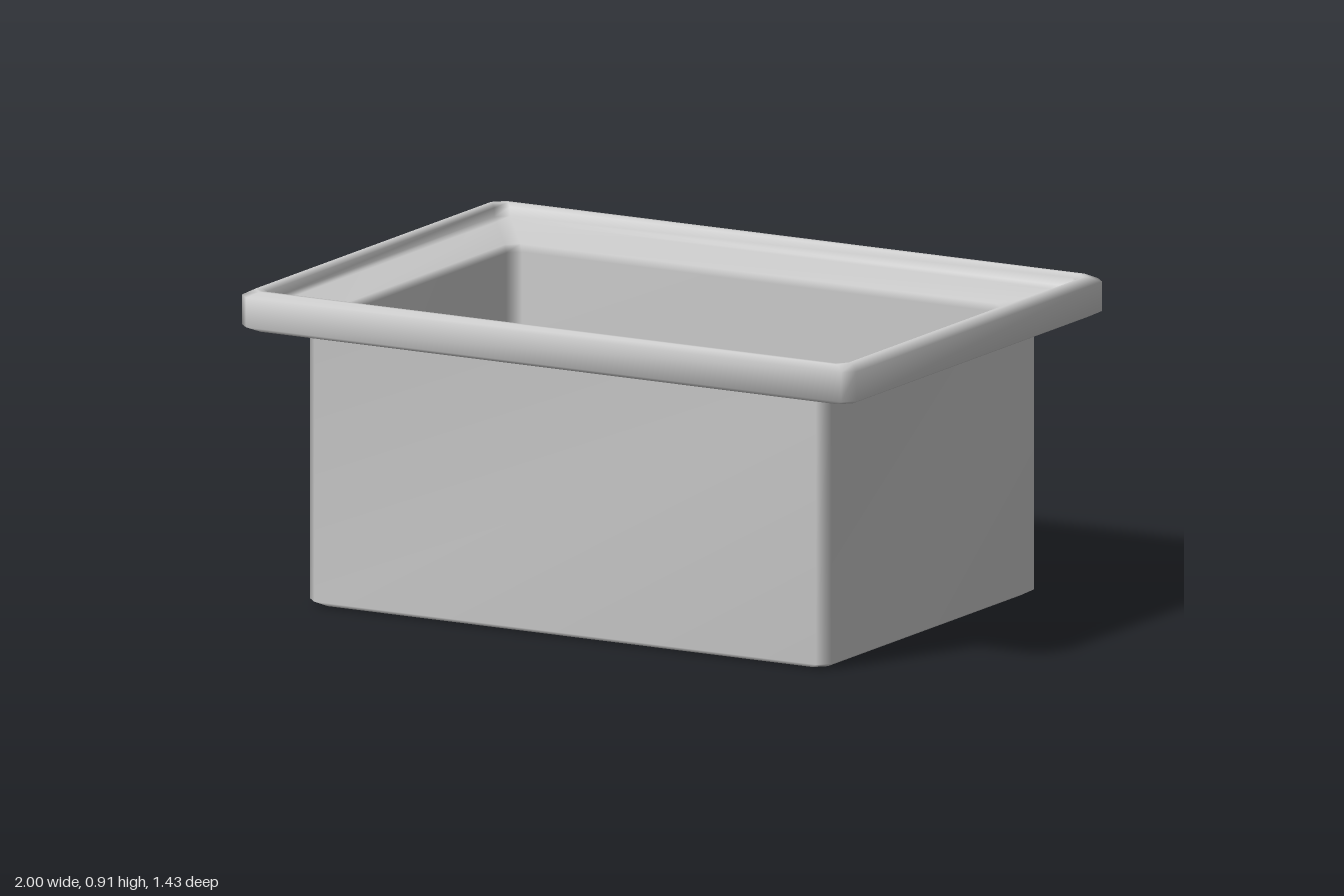
import * as THREE from 'three';

// Corners of a rectangle with cut corners, counter-clockwise from above
function ring([hx, hz, y], cut) {
  const cx = hx - cut, cz = hz - cut;
  return [
    [hx, cz], [hx, -cz], [cx, -hz], [-cx, -hz],
    [-hx, -cz], [-hx, cz], [-cx, hz], [cx, hz],
  ].flatMap(([x, z]) => [x, y, z]);
}

// Skin a closed solid through stacked rings, capped at both ends
function loft(profile, cut) {
  const n = 8, positions = profile.flatMap((p) => ring(p, cut)), index = [];
  for (let r = 0; r < profile.length - 1; r++) {
    for (let i = 0; i < n; i++) {
      const a = r * n + i, b = r * n + (i + 1) % n;
      index.push(a, b, b + n, a, b + n, a + n);
    }
  }
  const last = (profile.length - 1) * n;
  for (let i = 1; i < n - 1; i++) {
    index.push(0, i + 1, i);
    index.push(last, last + i, last + i + 1);
  }
  const geometry = new THREE.BufferGeometry();
  geometry.setAttribute('position', new THREE.Float32BufferAttribute(positions, 3));
  geometry.setIndex(index);
  geometry.computeVertexNormals();
  return geometry;
}

export function createModel() {
  const group = new THREE.Group();
  group.name = 'basin';

  // Half width, half depth, height: from the underside, over the rim, to the floor
  const profile = [
    // outer body
    [0.82, 0.567, 0], [0.848, 0.595, 0.015], [0.848, 0.595, 0.78],
    // flare and overhanging rim
    [0.882, 0.63, 0.795], [0.97, 0.685, 0.795], [1, 0.715, 0.81],
    [1, 0.715, 0.895], [0.972, 0.688, 0.91], [0.96, 0.676, 0.91],
    // inside of the rim and sloping ledge
    [0.948, 0.664, 0.9], [0.945, 0.66, 0.875], [0.93, 0.645, 0.865],
    [0.805, 0.48, 0.845],
    // cavity walls and floor
    [0.793, 0.466, 0.825], [0.793, 0.466, 0.065], [0.775, 0.448, 0.05],
  ];
  const basin = new THREE.Mesh(
    loft(profile, 0.032),
    new THREE.MeshStandardMaterial({ color: 0xcccccc }),
  );
  basin.name = 'rimmedBasin';
  group.add(basin);
  return group;
}
